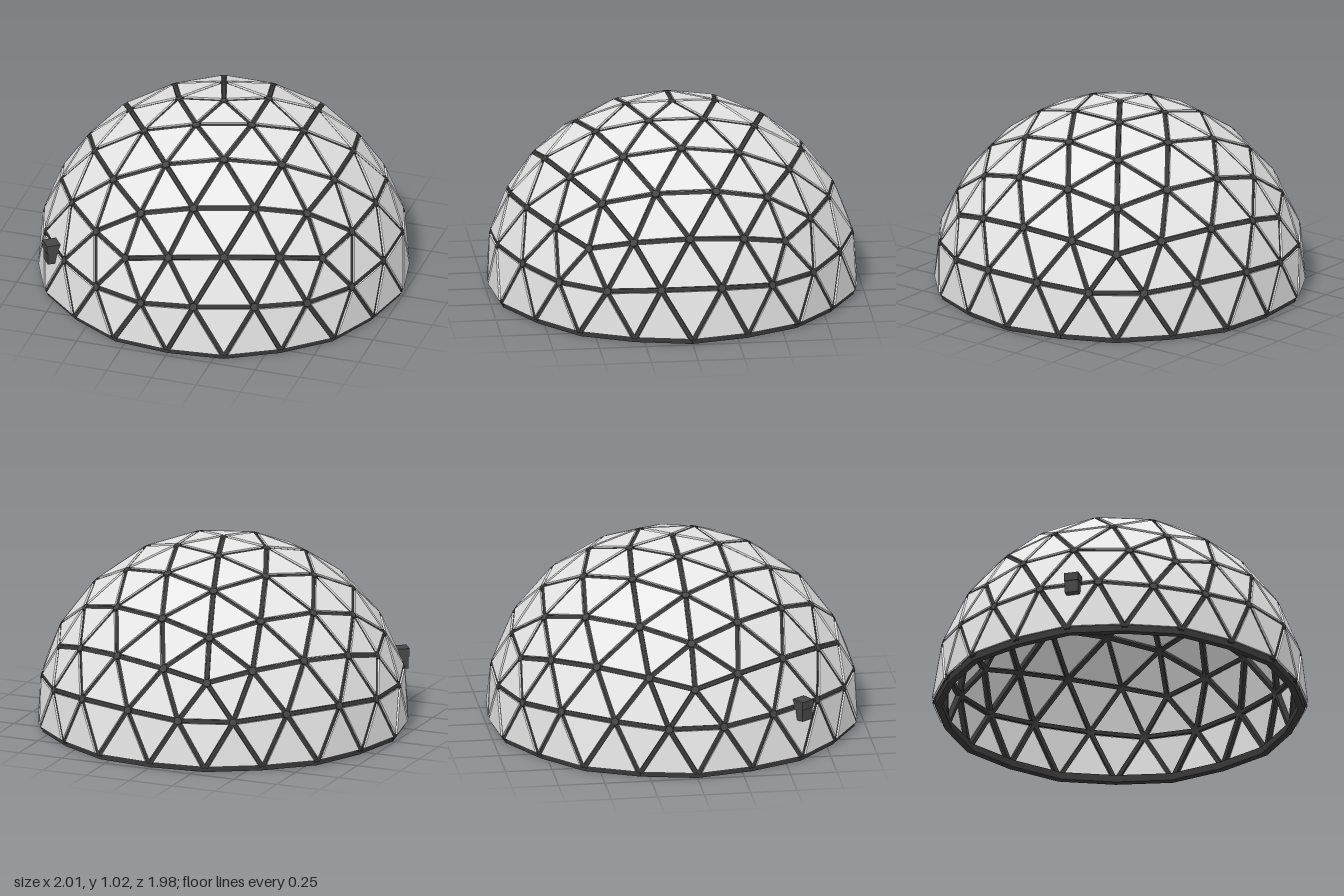
import * as THREE from 'three';
import { mergeGeometries } from 'three/addons/utils/BufferGeometryUtils.js';

const RADIUS = 0.995, BASE_Y = 0.02, FREQ = 4;
const GAP = 0.012, PANEL_OUT = 0.013, PANEL_IN = 0.003;
const key = (v) => v.toArray().map((c) => Math.round(c * 1000)).join();

// Icosahedron corners: pole, upper and lower rings
function icosahedronFaces() {
  const ring = (i, y, offset) => {
    const a = Math.PI + (i + offset) * Math.PI * 0.4, r = 2 / Math.sqrt(5);
    return new THREE.Vector3(r * Math.cos(a), y / Math.sqrt(5), r * Math.sin(a));
  };
  const pole = new THREE.Vector3(0, 1, 0), faces = [];
  for (let i = 0; i < 5; i++) {
    const u0 = ring(i, 1, 0), u1 = ring(i + 1, 1, 0);
    const l0 = ring(i, -1, 0.5), l1 = ring(i + 1, -1, 0.5);
    faces.push([pole, u1, u0], [u0, u1, l0], [l0, u1, l1]);
  }
  return faces;
}

// Point on the dome; every second point of the base circle sits slightly inward
function project(v) {
  const p = v.clone().normalize();
  let r = RADIUS;
  if (Math.abs(p.y) < 1e-4) {
    const step = Math.round(Math.atan2(p.z, p.x) / (Math.PI / 10));
    if (step % 2 !== 0) r *= 0.984;
  }
  return p.multiplyScalar(r);
}

// Small triangles of the upper half
function domeTriangles() {
  const result = [];
  for (const [a, b, c] of icosahedronFaces()) {
    const at = (i, j) => new THREE.Vector3()
      .addScaledVector(a, FREQ - i - j).addScaledVector(b, i).addScaledVector(c, j);
    const add = (...pts) => {
      if (pts[0].y + pts[1].y + pts[2].y > 1e-3) result.push(pts.map(project));
    };
    for (let i = 0; i < FREQ; i++) {
      for (let j = 0; j < FREQ - i; j++) {
        add(at(i, j), at(i + 1, j), at(i, j + 1));
        if (i + j < FREQ - 1) add(at(i + 1, j), at(i + 1, j + 1), at(i, j + 1));
      }
    }
  }
  return result;
}

// Thin triangular plate, inset from the struts and set just proud of them
function addPanel(tri, out) {
  let [a, b, c] = tri;
  const n = b.clone().sub(a).cross(c.clone().sub(a));
  if (n.dot(a) < 0) { [b, c] = [c, b]; n.negate(); }
  const la = b.distanceTo(c), lb = c.distanceTo(a), lc = a.distanceTo(b);
  const sum = la + lb + lc, inradius = n.length() / sum;
  n.normalize();
  const centre = new THREE.Vector3().addScaledVector(a, la / sum)
    .addScaledVector(b, lb / sum).addScaledVector(c, lc / sum);
  const layer = (h) => [a, b, c].map((p) =>
    p.clone().lerp(centre, GAP / inradius).addScaledVector(n, h));
  const top = layer(PANEL_OUT), low = layer(PANEL_IN);
  const push = (...pts) => pts.forEach((p) => out.push(p.x, p.y, p.z));
  push(...top);
  push(low[0], low[2], low[1]);
  for (let i = 0; i < 3; i++) {
    const j = (i + 1) % 3;
    push(low[i], low[j], top[j], low[i], top[j], top[i]);
  }
}

// Square bar between two points, one side facing outward
function bar(p, q, width, depth, sink, extra) {
  const along = q.clone().sub(p), length = along.length();
  along.normalize();
  const mid = p.clone().add(q).multiplyScalar(0.5);
  const outward = mid.clone().addScaledVector(along, -mid.dot(along)).normalize();
  const side = new THREE.Vector3().crossVectors(along, outward);
  mid.addScaledVector(outward, -sink);
  return new THREE.BoxGeometry(width, length + extra, depth)
    .applyMatrix4(new THREE.Matrix4().makeBasis(side, along, outward).setPosition(mid));
}

// Six-sided connector facing outward
function hub(p) {
  const dir = p.clone().normalize();
  const q = new THREE.Quaternion().setFromUnitVectors(new THREE.Vector3(0, 1, 0), dir);
  return new THREE.CylinderGeometry(0.022, 0.022, 0.034, 6)
    .applyQuaternion(q).translate(...p.clone().addScaledVector(dir, -0.008).toArray());
}

export function createModel() {
  const material = (name, color) => {
    const m = new THREE.MeshStandardMaterial({ color });
    m.name = name;
    return m;
  };
  const panelGrey = material('panelGrey', 0xe6e6e6);
  const frameDark = material('frameDark', 0x383838);
  const hubGrey = material('hubGrey', 0x464646);

  const model = new THREE.Group();
  model.name = 'geodesicDome';
  const add = (name, geometry, mat, parent) => {
    const mesh = new THREE.Mesh(geometry, mat);
    mesh.name = name;
    parent.add(mesh);
    return mesh;
  };
  const dome = new THREE.Group();
  dome.name = 'dome';
  dome.position.y = BASE_Y;
  model.add(dome);

  const positions = [], nodes = new Map(), edges = new Map();
  for (const tri of domeTriangles()) {
    addPanel(tri, positions);
    tri.forEach((p, i) => {
      const q = tri[(i + 1) % 3];
      nodes.set(key(p), p);
      edges.set([key(p), key(q)].sort().join('|'), [p, q]);
    });
  }

  // Cladding
  const panels = new THREE.BufferGeometry();
  panels.setAttribute('position', new THREE.Float32BufferAttribute(positions, 3));
  panels.computeVertexNormals();
  add('panels', panels, panelGrey, dome);

  // Frame
  const struts = [], ring = [];
  for (const [p, q] of edges.values()) {
    if (p.y + q.y < 1e-3) ring.push(bar(p, q, 0.04, 0.036, 0.026, 0));
    else struts.push(bar(p, q, 0.022, 0.028, 0.012, -0.01));
  }
  add('struts', mergeGeometries(struts), frameDark, dome);
  add('baseRing', mergeGeometries(ring), frameDark, dome);
  const hubs = [...nodes.values()].filter((p) => p.y > 1e-3).map(hub);
  add('hubs', mergeGeometries(hubs), hubGrey, dome);

  // Vent box through the wall
  const vent = new THREE.Group();
  vent.name = 'vent';
  vent.position.set(-0.77, 0.283, 0.597);
  vent.rotation.y = Math.atan2(-0.81, 0.59);
  model.add(vent);
  add('ventBox', new THREE.BoxGeometry(0.074, 0.11, 0.07), hubGrey, vent);
  add('ventHood', new THREE.BoxGeometry(0.08, 0.045, 0.076), hubGrey, vent)
    .position.set(0, 0.034, 0.003);

  return model;
}
